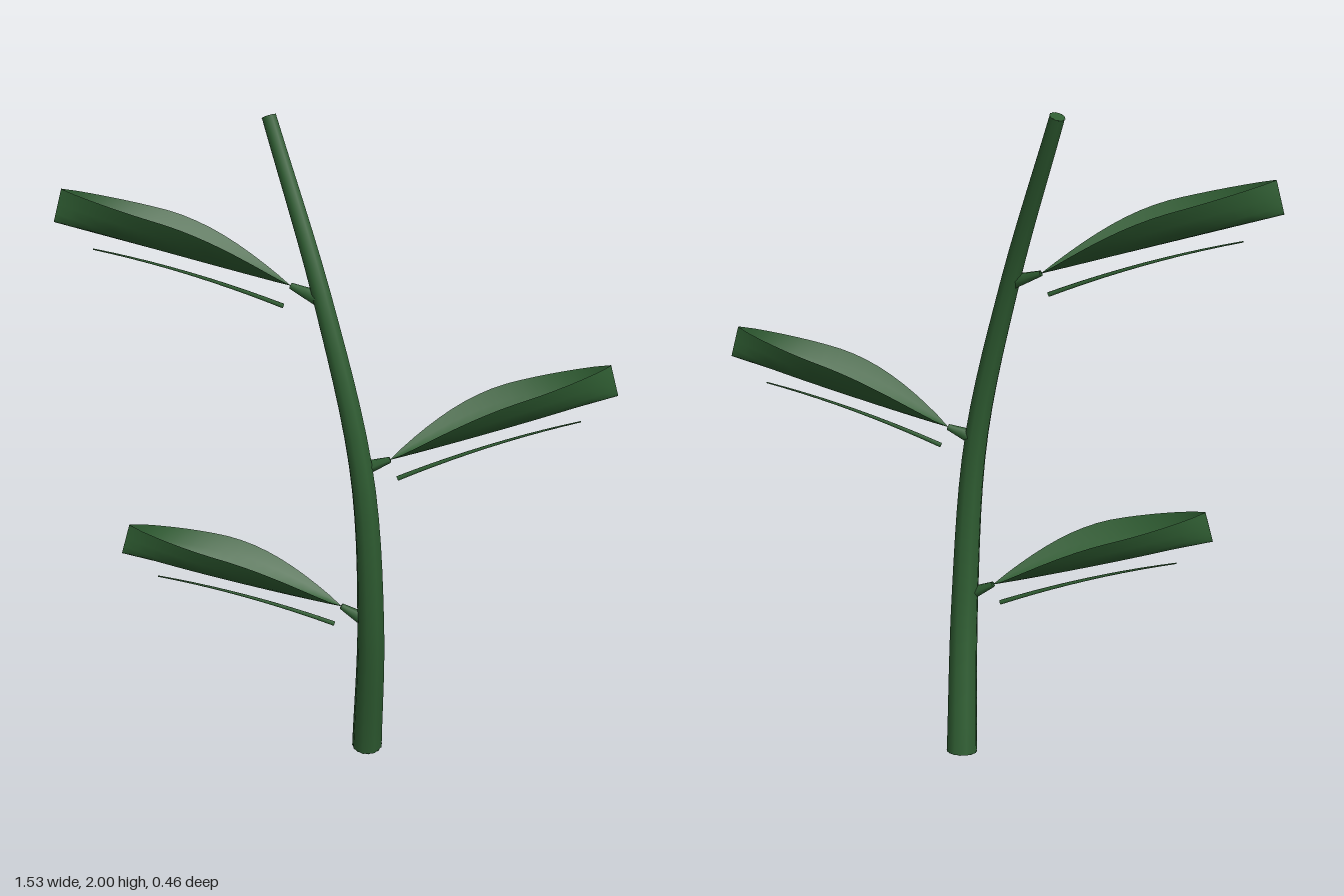
import * as THREE from 'three';

const V = (x, y, z) => new THREE.Vector3(x, y, z);

// Tube along a curve whose radius runs from r0 to r1
function taperTube(curve, segs, sides, r0, r1) {
  const geo = new THREE.TubeGeometry(curve, segs, 1, sides, false);
  const pos = geo.attributes.position;
  const v = V(0, 0, 0);
  for (let i = 0; i <= segs; i++) {
    const c = curve.getPointAt(i / segs);
    const r = r0 + (r1 - r0) * i / segs;
    for (let j = 0; j <= sides; j++) {
      const k = i * (sides + 1) + j;
      v.fromBufferAttribute(pos, k).sub(c).multiplyScalar(r).add(c);
      pos.setXYZ(k, v.x, v.y, v.z);
    }
  }
  geo.computeBoundingSphere();
  return geo;
}

// Cupped blade along +x: pointed outline, rims curling up towards the tip
function bladeGeometry(length, halfWidth, depth) {
  const geo = new THREE.PlaneGeometry(1, 2, 16, 8);
  geo.rotateX(-Math.PI / 2);
  const pos = geo.attributes.position;
  for (let i = 0; i < pos.count; i++) {
    const t = pos.getX(i) + 0.5;
    const u = pos.getZ(i);
    const w = halfWidth * Math.pow(Math.max(0, Math.sin(Math.PI * t)), 0.8) + 0.002;
    const h = depth * Math.sin(Math.min(1, t / 0.6) * Math.PI / 2);
    pos.setXYZ(i, t * length, h * u * u, w * u);
  }
  geo.computeVertexNormals();
  return geo;
}

export function createModel() {
  const model = new THREE.Group();
  model.name = 'leafyBranch';
  const green = new THREE.MeshStandardMaterial({ color: 0x2f5d32, side: THREE.DoubleSide });
  green.name = 'leaf green';

  const add = (parent, geo, name) => {
    const mesh = new THREE.Mesh(geo, green);
    mesh.name = name;
    parent.add(mesh);
    return mesh;
  };

  // Curved, tapering stem with closed ends
  const stemCurve = new THREE.CatmullRomCurve3([
    V(0.053, 0.01, -0.103), V(0.088, 0.5, -0.015), V(0.067, 1, 0.02),
    V(-0.055, 1.5, 0), V(-0.245, 1.993, -0.1),
  ]);
  add(model, taperTube(stemCurve, 24, 8, 0.049, 0.022), 'stem');
  for (const [t, r, s] of [[0, 0.049, -1], [1, 0.022, 1]]) {
    const cap = add(model, new THREE.CircleGeometry(r, 8), 'stemEnd');
    const p = stemCurve.getPointAt(t);
    cap.position.copy(p);
    cap.lookAt(p.clone().addScaledVector(stemCurve.getTangentAt(t), s));
  }

  // Shared leaf parts
  const blade = bladeGeometry(0.68, 0.09, 0.096);
  const rib = taperTube(new THREE.QuadraticBezierCurve3(
    V(0.004, -0.063, 0), V(0.29, -0.03, 0), V(0.559, -0.046, 0)), 10, 6, 0.007, 0.002);

  // Leaves alternate up the stem: blade base, stalk root, heading
  const leaves = [
    [V(0, 0.55, 0.005), V(0.085, 0.5, -0.01), Math.PI + 0.34],
    [V(0.145, 1.04, -0.01), V(0.066, 1.01, 0.015), 0.34],
    [V(-0.15, 1.54, 0.005), V(-0.06, 1.505, 0), Math.PI + 0.34],
  ];
  for (const [base, root, heading] of leaves) {
    add(model, taperTube(new THREE.LineCurve3(root, base), 2, 6, 0.024, 0.009), 'leafStalk');
    const leaf = new THREE.Group();
    leaf.name = 'leaf';
    leaf.position.copy(base);
    leaf.rotation.set(0, heading, 0.28);
    add(leaf, blade, 'leafBlade');
    add(leaf, rib, 'leafRib');
    model.add(leaf);
  }
  return model;
}
